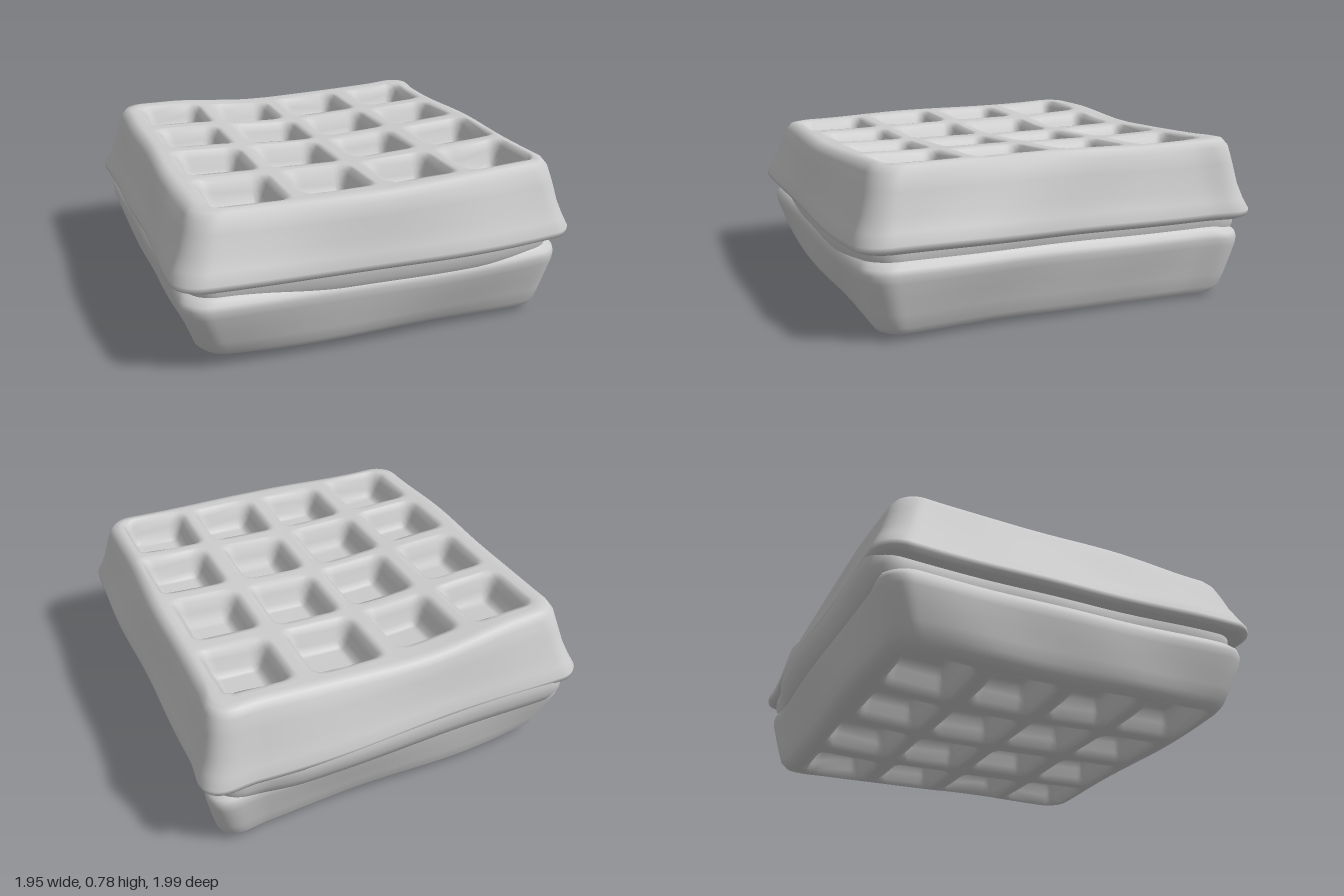
import * as THREE from 'three';

const N = 90; // grid cells along one side of a waffle face
const { clamp, smoothstep } = THREE.MathUtils;

// Unit square with rounded corners
function roundSquare(u, v, r = 0.13) {
  const k = 1 - r;
  const cu = clamp(u, -k, k), cv = clamp(v, -k, k);
  const du = u - cu, dv = v - cv;
  const len = Math.hypot(du, dv);
  const s = len > 0 ? Math.max(Math.abs(du), Math.abs(dv)) / len : 1;
  return [cu + du * s, cv + dv * s];
}

// How far a point lies inside one of the 4 x 4 pockets, 0 to 1; the wall on the -x side is gentler
function pocket(x, z) {
  let m = 0;
  for (let i = 0; i < 4; i++) for (let j = 0; j < 4; j++) {
    const cx = -0.612 + i * 0.411 + 0.01 * Math.sin(i * 5 + j * 3);
    const cz = -0.6 + j * 0.408 + 0.008 * Math.sin(i * 2 + j * 7);
    const w = 0.172 + 0.006 * Math.sin(i * 4 + j * 11);
    const edge = (d, wall) => 1 - smoothstep(Math.abs(d), w - wall, w);
    m = Math.max(m, edge(x - cx, x < cx ? 0.085 : 0.065) * edge(z - cz, 0.065));
  }
  return m;
}

// Uneven outline of the baked dough, with one corner pulled out
const wobble = (x, z, y) => 1 + 0.007 * Math.sin(4 * x + 3 * z + 6 * y) + 0.005 * Math.sin(7 * z - 5 * x + 9 * y)
  + 0.03 * smoothstep(x, 0.75, 1) * smoothstep(-z, 0.75, 1);

// Slab: a pocketed face grid, side rings [half size, y, follow face], and a hidden closing fan
function slab({ face, height, rings, hx, hz, cx, dir }) {
  const pos = [], idx = [], rim = [];
  const tri = (a, b, c) => (dir > 0 ? idx.push(a, b, c) : idx.push(a, c, b));
  const id = (i, j) => j * (N + 1) + i;
  const put = (i, j, half, y) => {
    const [a, b] = roundSquare(i / N * 2 - 1, j / N * 2 - 1);
    const w = wobble(a, b, y);
    const taper = 1 - 0.012 * b * Math.max(a, 0);
    return [a * half * hx * w * taper + cx, b * half * hz * w * (1 - 0.025 * a * a)];
  };
  for (let j = 0; j <= N; j++) for (let i = 0; i <= N; i++) {
    const [x, z] = put(i, j, face, rings[0][1]);
    pos.push(x, height(x, z), z);
  }
  for (let j = 0; j < N; j++) for (let i = 0; i < N; i++) {
    const a = id(i, j), b = id(i + 1, j), c = id(i + 1, j + 1), d = id(i, j + 1);
    tri(a, d, c);
    tri(a, c, b);
  }
  for (let k = 0; k < N; k++) rim.push([k, 0]);
  for (let k = 0; k < N; k++) rim.push([N, k]);
  for (let k = N; k > 0; k--) rim.push([k, N]);
  for (let k = N; k > 0; k--) rim.push([0, k]);
  let prev = rim.map(([i, j]) => id(i, j));
  rings.forEach(([half, y, follow = 0]) => {
    const next = rim.map(([i, j]) => {
      const [x, z] = put(i, j, half, y);
      const sway = 0.008 * Math.sin(3 * x - 2 * z);
      pos.push(x, y + follow * (height(x, z) - height.base) + (1 - follow) * sway, z);
      return pos.length / 3 - 1;
    });
    next.forEach((n, k) => {
      const m = (k + 1) % next.length;
      tri(prev[k], prev[m], next[m]);
      tri(prev[k], next[m], n);
    });
    prev = next;
  });
  pos.push(cx, rings.at(-1)[1], 0);
  prev.forEach((p, k) => tri(p, prev[(k + 1) % prev.length], pos.length / 3 - 1));
  const g = new THREE.BufferGeometry();
  g.setAttribute('position', new THREE.Float32BufferAttribute(pos, 3));
  g.setIndex(idx);
  g.computeVertexNormals();
  return g;
}

export function createModel() {
  const group = new THREE.Group();
  const material = new THREE.MeshStandardMaterial({ color: 0xcccccc, roughness: 0.8 });
  const add = (name, geometry) => {
    const mesh = new THREE.Mesh(geometry, material);
    mesh.name = name;
    group.add(mesh);
  };

  // Top waffle: lowest in the middle and at the front right, rising to the left and back
  const topHeight = (x, z) => 0.75 + 0.042 * Math.max(x, 0)
    + 0.032 * smoothstep(-x, 0.1, 0.6) * clamp(0.4 - 0.7 * z, -0.2, 1)
    + 0.008 * Math.abs(x) * Math.cos(2 * Math.PI * (z - 0.11) / 1.32) + 0.012 * x * x * z * z
    - 0.018 * (1 - x * x) * (1 - z * z) - 0.13 * pocket(x, z);
  topHeight.base = 0.765;
  add('topWaffle', slab({
    face: 0.84, height: topHeight, hx: 0.985, hz: 1.01, cx: -0.01, dir: 1,
    rings: [[0.868, 0.757, 1], [0.89, 0.725, 0.9], [0.91, 0.66, 0.5], [0.933, 0.57, 0.2],
      [0.957, 0.505], [0.978, 0.455], [0.975, 0.43], [0.95, 0.415], [0.87, 0.412]],
  }));

  // Bottom waffle: underside bulges down, upper edge slopes in to the seam
  const lowHeight = (x, z) => 0.045 - 0.01 * x + 0.008 * z + 0.006 * Math.sin(5 * x + 1) + 0.005 * Math.sin(4 * z + x)
    - 0.032 * (1 - x * x) * (1 - z * z) + 0.125 * pocket(x, z);
  lowHeight.base = 0.045;
  add('bottomWaffle', slab({
    face: 0.835, height: lowHeight, hx: 0.97, hz: 0.995, cx: -0.012, dir: -1,
    rings: [[0.865, 0.055, 1], [0.888, 0.085, 0.9], [0.905, 0.14, 0.4], [0.925, 0.21, 0.1], [0.945, 0.28],
      [0.95, 0.315], [0.945, 0.34], [0.925, 0.36], [0.9, 0.38], [0.86, 0.39]],
  }));

  // Filling: recessed at both sides, nearly flush at the front, swelling out at the back
  const filling = slab({
    face: 0.86, height: Object.assign(() => 0.5, { base: 0.5 }), hx: 0.975, hz: 1, cx: -0.01, dir: 1,
    rings: [[0.885, 0.5], [0.905, 0.465], [0.912, 0.42], [0.91, 0.37], [0.888, 0.315], [0.85, 0.28]],
  });
  const p = filling.attributes.position;
  for (let i = 0; i < p.count; i++) {
    const x = p.getX(i), z = p.getZ(i);
    const back = 0.085 * smoothstep(-z, 0.3, 0.85) * (1 - 0.5 * smoothstep(x, 0.5, 0.85));
    const front = 0.045 * smoothstep(z, 0.3, 0.85) * (1 - smoothstep(Math.abs(x - 0.1), 0.3, 0.85));
    p.setZ(i, z * (1 + back + front));
  }
  filling.computeVertexNormals();
  add('filling', filling);

  return group;
}
